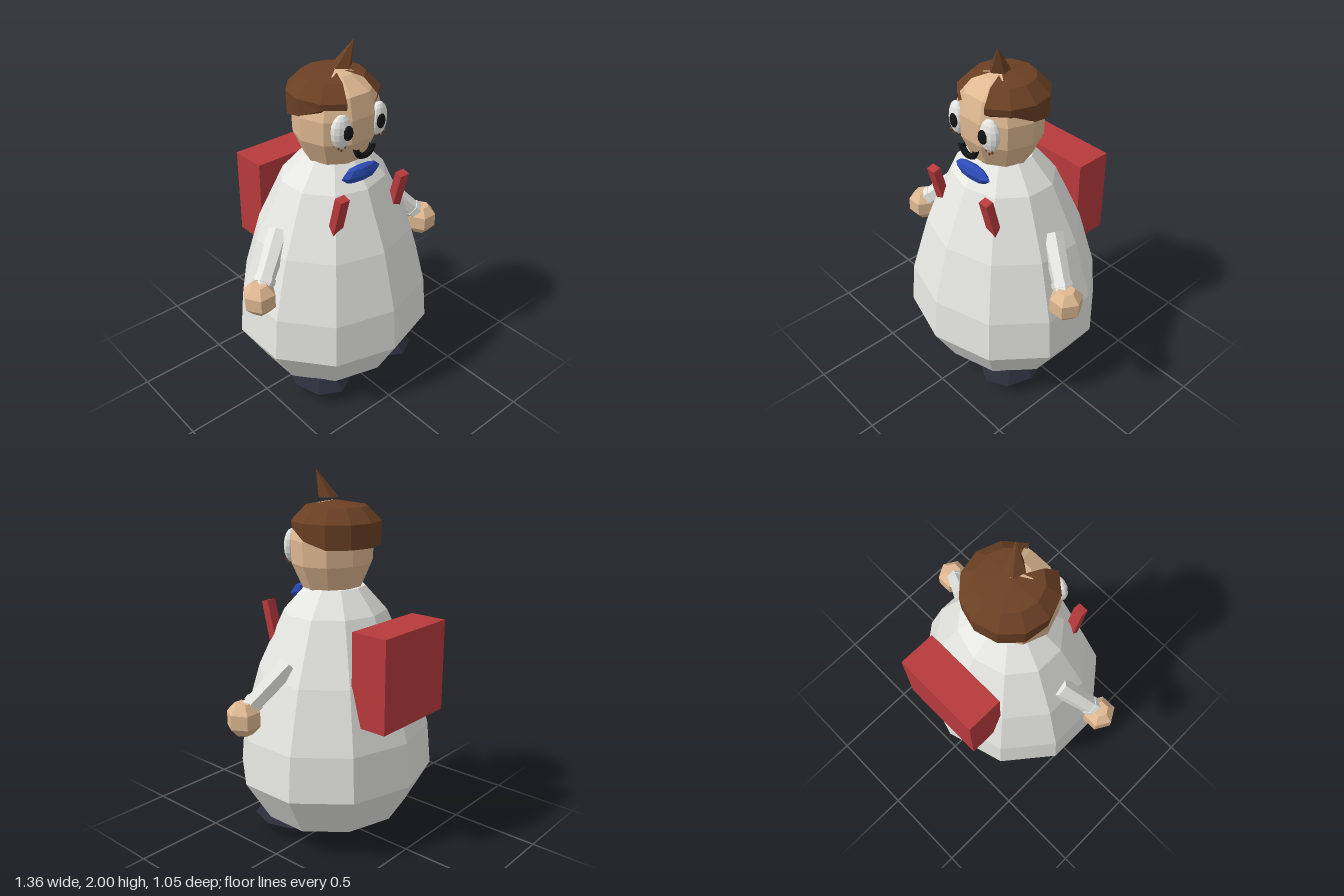
import * as THREE from 'three';

const mat = (color) => new THREE.MeshStandardMaterial({ color, flatShading: true });

export function createModel() {
  const model = new THREE.Group();
  const white = mat(0xe6e6e2), skin = mat(0xdfb992), red = mat(0xb83a3c), blue = mat(0x2c4cb8);
  const brown = mat(0x6b4024), dark = mat(0x2c2c3a), black = mat(0x141416);
  const hairMat = mat(0x6b4024);
  hairMat.side = THREE.DoubleSide;

  const add = (name, geo, material, x = 0, y = 0, z = 0, parent = model) => {
    const m = new THREE.Mesh(geo, material);
    m.name = name;
    m.position.set(x, y, z);
    parent.add(m);
    return m;
  };
  // Faceted solid of revolution from [radius, y] pairs, bottom to top
  const turned = (profile, sides, start = 0, length = Math.PI * 2) =>
    new THREE.LatheGeometry(profile.map(([r, y]) => new THREE.Vector2(r, y)), sides, start, length);
  const blob = (w, h, d, a, b) => new THREE.SphereGeometry(1, a, b).scale(w, h, d);

  // Robe: ten-sided bell, slightly flattened front to back
  const robe = turned([[0, 0.14], [0.43, 0.14], [0.573, 0.375], [0.55, 0.62], [0.45, 0.95],
    [0.295, 1.27], [0.17, 1.4], [0, 1.4]], 10);
  add('robe', robe.scale(1, 1, 0.9), white, 0, 0, 0.01);

  // Head, with a flat facet facing forward
  const head = turned([[0, 1.39], [0.17, 1.395], [0.23, 1.525], [0.235, 1.65], [0.2, 1.76],
    [0.09, 1.83], [0, 1.845]], 10, Math.PI / 10);
  add('head', head.scale(1, 1, 0.91), skin, 0, 0, 0.03);

  // Hair: cap parted at the front, hem rising towards the forehead
  const gap = 0.42;
  const hair = turned([[0.19, 0], [0.235, 0], [0.24, 1.745], [0.165, 1.82], [0, 1.848]],
    10, gap, Math.PI * 2 - gap * 2);
  const p = hair.attributes.position;
  for (let i = 0; i < p.count; i++) {
    if (p.getY(i) === 0) {
      const z = p.getZ(i);
      p.setY(i, z > 0.12 ? 1.71 : z > -0.06 ? 1.655 : 1.62);
    }
  }
  add('hair', hair, hairMat, 0, 0, 0.005);

  // Tuft floating above the head, its tip leaning to the left side
  const tuft = new THREE.ConeGeometry(0.056, 0.14, 5);
  const t = tuft.attributes.position;
  for (let i = 0; i < t.count; i++) {
    if (t.getY(i) > 0) t.setXYZ(i, 0.04, 0.07, 0.045);
  }
  add('tuft', tuft, brown, 0.015, 1.93, 0.05);

  // Smile and bow tie
  add('mouth', new THREE.TorusGeometry(0.055, 0.017, 6, 10, Math.PI).rotateZ(Math.PI), black, 0, 1.505, 0.243);
  add('bowTie', blob(0.13, 0.047, 0.034, 8, 4), blue, 0, 1.347, 0.222);

  // Backpack
  add('backpack', new THREE.BoxGeometry(0.5, 0.495, 0.21), red, 0, 1.0025, -0.42);

  for (const s of [1, -1]) {
    const side = s > 0 ? 'left' : 'right';

    // Eye, pupil and freckles
    const eye = new THREE.Group();
    eye.name = side + 'Eye';
    eye.position.set(s * 0.123, 1.605, 0.21);
    eye.rotation.y = s * 0.2;
    model.add(eye);
    add('eyeball', blob(0.058, 0.09, 0.036, 12, 8), white, 0, 0, 0, eye);
    add('pupil', blob(0.03, 0.04, 0.016, 10, 6), black, s * -0.02, 0, 0.03, eye);
    for (const [x, y] of [[0.155, 1.53], [0.135, 1.515], [0.113, 1.527]]) {
      add('freckle', new THREE.SphereGeometry(0.007, 6, 4), brown, s * x, y, 0.225);
    }

    // Shoulder strap, leaning forward at the top
    const strap = add(side + 'Strap', new THREE.BoxGeometry(0.058, 0.22, 0.045), red, s * 0.205, 1.2, 0.287);
    strap.rotation.x = 0.25;

    // Sleeve with cuff, running from shoulder to wrist
    const shoulder = new THREE.Vector3(s * 0.365, 1.04, 0.005);
    const wrist = new THREE.Vector3(s * 0.56, 0.835, 0.11);
    const dir = wrist.clone().sub(shoulder);
    const arm = new THREE.Group();
    arm.name = side + 'Arm';
    arm.position.copy(shoulder);
    arm.quaternion.setFromUnitVectors(new THREE.Vector3(0, 1, 0), dir.clone().normalize());
    model.add(arm);
    const len = dir.length();
    add('sleeve', new THREE.CylinderGeometry(0.048, 0.06, len, 6), white, 0, len / 2, 0, arm);
    add('cuff', new THREE.CylinderGeometry(0.056, 0.056, 0.03, 6), white, 0, len - 0.035, 0, arm);

    // Hand
    const hand = turned([[0, -0.085], [0.045, -0.085], [0.088, -0.038], [0.088, 0.038], [0.045, 0.085], [0, 0.085]],
      6, Math.PI / 6);
    add(side + 'Hand', hand, skin, s * 0.59, 0.785, 0.118);

    // Shoe
    add(side + 'Shoe', blob(0.165, 0.085, 0.207, 8, 4), dark, s * 0.24, 0.085, 0.16);
  }
  return model;
}
